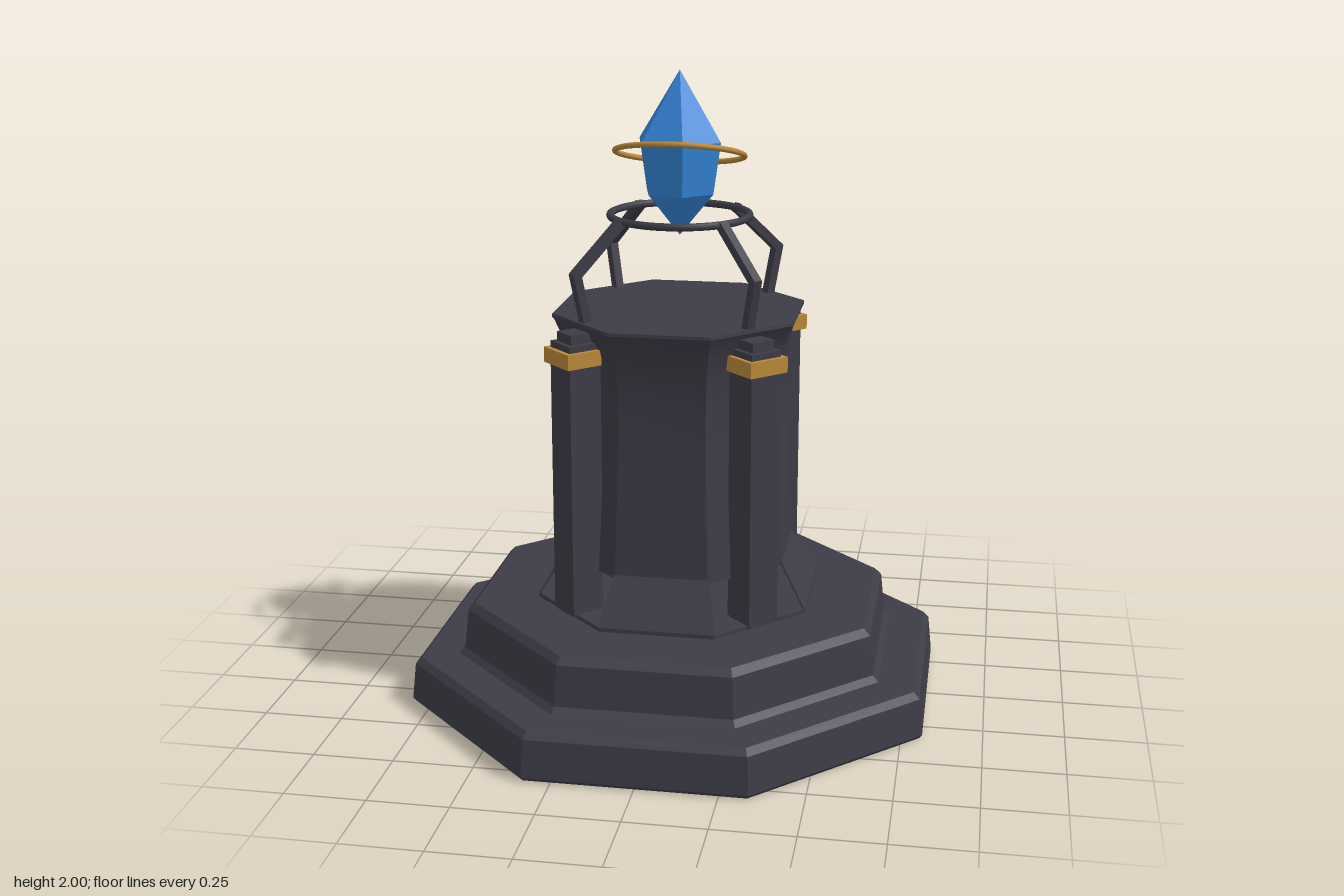
import * as THREE from 'three';
import { toCreasedNormals } from 'three/addons/utils/BufferGeometryUtils.js';

const stone = new THREE.MeshStandardMaterial({ color: 0x3d3c47 });
stone.name = 'dark stone';
const gold = new THREE.MeshStandardMaterial({ color: 0xb8893a });
gold.name = 'gold';
const blue = new THREE.MeshStandardMaterial({ color: 0x3585d8 });
blue.name = 'blue crystal';

function add(parent, name, geometry, material, x = 0, y = 0, z = 0) {
  const mesh = new THREE.Mesh(geometry, material);
  mesh.name = name;
  mesh.position.set(x, y, z);
  parent.add(mesh);
  return mesh;
}

// Octagonal solid with flat sides facing the axes; profile gives [apothem, y]
function octagon(profile) {
  const k = 1 / Math.cos(Math.PI / 8);
  const points = profile.map(([a, y]) => new THREE.Vector2(a * k, y));
  return toCreasedNormals(new THREE.LatheGeometry(points, 8, Math.PI / 8), 0.45);
}

// Square bar between two points given as [radius, y] in the local yz plane
function bar(parent, name, [r0, y0], [r1, y1], t) {
  const length = Math.hypot(r1 - r0, y1 - y0) + t * 0.5;
  const mesh = add(parent, name, new THREE.BoxGeometry(t, length, t), stone, 0, (y0 + y1) / 2, (r0 + r1) / 2);
  mesh.rotation.x = Math.atan2(r1 - r0, y1 - y0);
}

export function createModel() {
  const model = new THREE.Group();
  model.name = 'crystalPedestal';

  // Stepped base
  add(model, 'lowerStep', octagon([
    [0, 0], [0.805, 0], [0.815, 0.012], [0.803, 0.13], [0.785, 0.15], [0, 0.156],
  ]), stone);
  add(model, 'upperStep', octagon([
    [0, 0.15], [0.672, 0.153], [0.655, 0.172], [0.642, 0.3], [0.622, 0.322], [0, 0.328],
  ]), stone);
  add(model, 'floorPlate', octagon([[0, 0.325], [0.43, 0.325], [0.43, 0.338], [0, 0.338]]), stone);

  // Flared column
  add(model, 'column', octagon([
    [0, 0.47], [0.35, 0.47], [0.342, 0.6], [0.329, 0.82], [0.322, 0.98], [0.326, 1.09],
    [0.345, 1.18], [0.37, 1.243], [0.376, 1.25], [0.375, 1.26], [0, 1.262],
  ]), stone);

  // Sloping skirt panels on the four main sides
  const trapezoid = new THREE.Shape([
    new THREE.Vector2(-0.182, 0), new THREE.Vector2(0.182, 0),
    new THREE.Vector2(0.148, 0.166), new THREE.Vector2(-0.148, 0.166),
  ]);
  const skirtGeometry = new THREE.ExtrudeGeometry(trapezoid, { depth: 0.006, bevelEnabled: false });
  for (let i = 0; i < 4; i++) {
    const side = new THREE.Group();
    side.name = 'skirtSide';
    side.rotation.y = i * Math.PI / 2;
    add(side, 'skirtPanel', skirtGeometry, stone, 0, 0.335, 0.425).rotation.x = -0.504;
    model.add(side);
  }

  // Pillars, gold bands and bent arms on the diagonals
  for (let i = 0; i < 4; i++) {
    const corner = new THREE.Group();
    corner.name = 'cornerPillar';
    corner.rotation.y = Math.PI / 4 + i * Math.PI / 2;
    add(corner, 'pillar', new THREE.BoxGeometry(0.11, 0.86, 0.11), stone, 0, 0.775, 0.39);
    add(corner, 'pillarFoot', new THREE.BoxGeometry(0.1, 0.02, 0.1), stone, 0, 0.34, 0.39);
    add(corner, 'pillarCap', new THREE.BoxGeometry(0.08, 0.04, 0.09), stone, 0, 1.215, 0.385);
    add(corner, 'pillarBand', new THREE.BoxGeometry(0.138, 0.048, 0.12), gold, 0, 1.161, 0.4);
    bar(corner, 'lowerArm', [0.35, 1.25], [0.386, 1.408], 0.028);
    bar(corner, 'upperArm', [0.386, 1.408], [0.222, 1.552], 0.028);
    model.add(corner);
  }

  // Cradle ring
  const cradle = new THREE.TorusGeometry(0.217, 0.012, 8, 40);
  add(model, 'cradleRing', cradle, stone, 0, 1.554, 0).rotation.x = Math.PI / 2;

  // Faceted crystal with a tilted halo
  const outline = [[0, 1.49], [0.115, 1.625], [0.14, 1.785], [0, 2]].map(([r, y]) => new THREE.Vector2(r, y));
  const crystal = new THREE.LatheGeometry(outline, 6, THREE.MathUtils.degToRad(13)).toNonIndexed();
  crystal.computeVertexNormals();
  add(model, 'crystal', crystal, blue);
  const halo = new THREE.TorusGeometry(0.2, 0.009, 8, 48);
  add(model, 'halo', halo, gold, 0, 1.744, 0).rotation.x = Math.PI / 2 - 0.28;

  return model;
}
